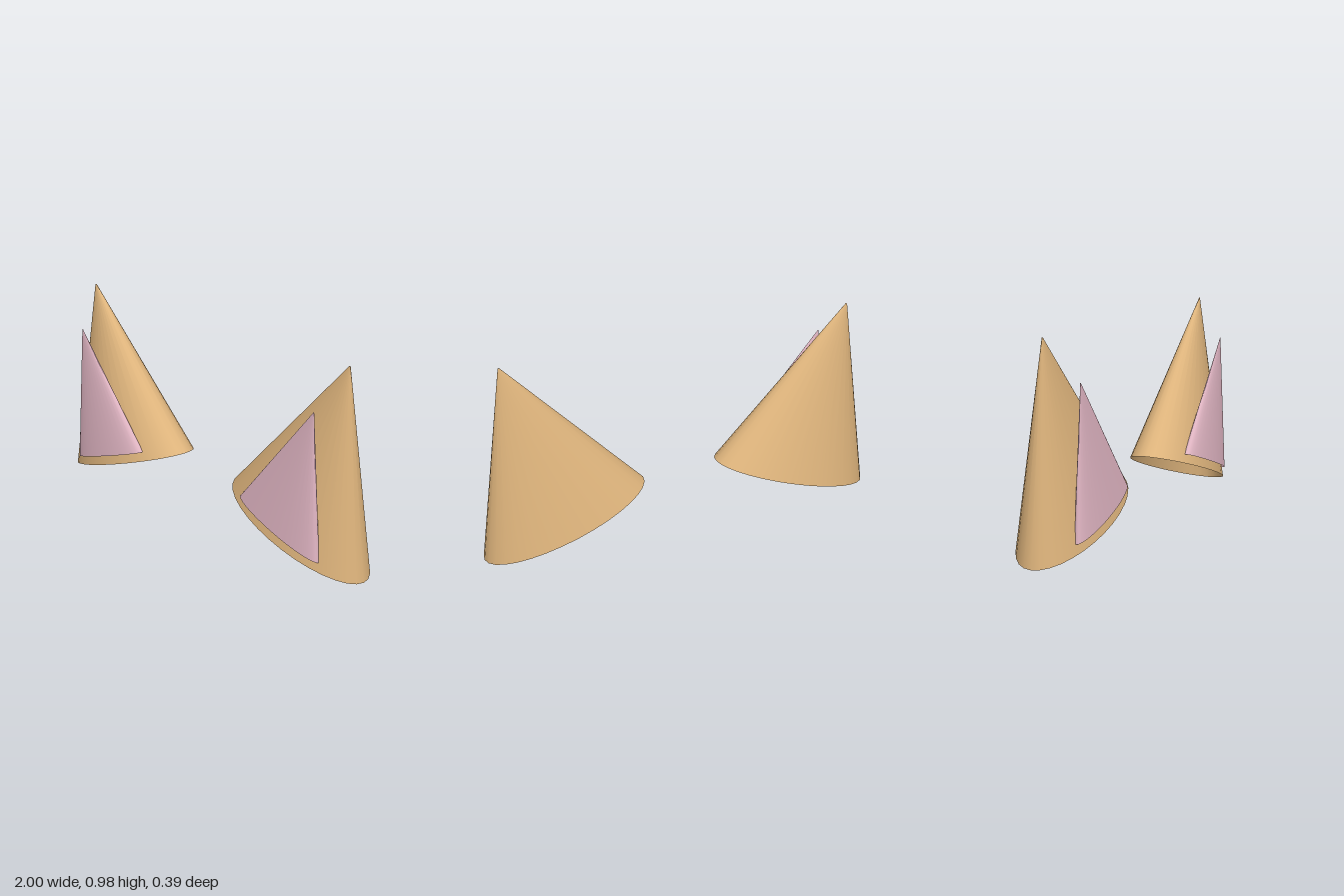
import * as THREE from 'three';

const outerMaterial = new THREE.MeshStandardMaterial({ color: 0xdeb47c, side: THREE.DoubleSide });
const innerMaterial = new THREE.MeshStandardMaterial({ color: 0xe4b8c6, side: THREE.DoubleSide });

// Open, flattened cone; its base centre is the mesh's origin
function flatCone(name, radius, depth, height, tipRadius, material) {
  const geometry = new THREE.CylinderGeometry(tipRadius, radius, height, 32, 1, true);
  geometry.translate(0, height / 2, 0);
  geometry.scale(1, 1, depth / radius);
  const mesh = new THREE.Mesh(geometry, material);
  mesh.name = name;
  return mesh;
}

// One ear leaning outwards; side is +1 for left, -1 for right
function createEar(side) {
  const ear = new THREE.Group();
  ear.name = side > 0 ? 'leftEar' : 'rightEar';
  const tilt = -side * 0.317;

  const outer = flatCone('outerEar', 0.425, 0.196, 0.894, 0.004, outerMaterial);
  outer.position.set(side * 0.596, 0.133, 0);
  outer.rotation.z = tilt;

  const inner = flatCone('innerEar', 0.264, 0.051, 0.645, 0.002, innerMaterial);
  inner.position.set(side * 0.606, 0.177, 0.145);
  inner.rotation.z = tilt;

  ear.add(outer, inner);
  return ear;
}

export function createModel() {
  const model = new THREE.Group();
  model.name = 'ears';
  for (const side of [1, -1]) model.add(createEar(side));
  return model;
}
